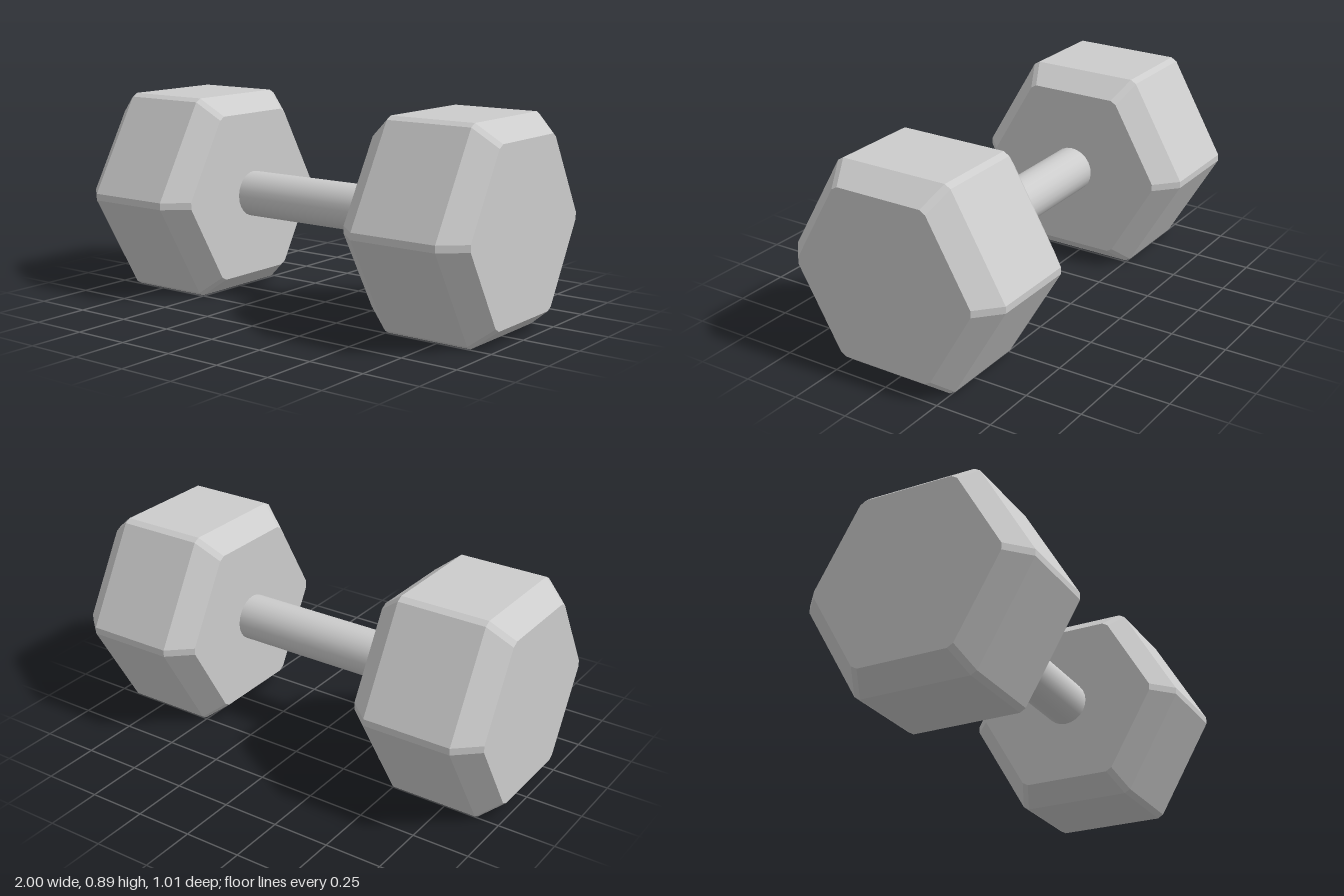
import * as THREE from 'three';
import { ConvexGeometry } from 'three/addons/geometries/ConvexGeometry.js';

const AXIS_Y = 0.446;

// Hexagon with slightly clipped corners, standing across the x axis
function hexRing(x, apothem, clip) {
  const tip = apothem / Math.cos(Math.PI / 6) - clip / Math.sqrt(3);
  const points = [];
  for (let i = 0; i < 6; i++) {
    const a = (i * Math.PI) / 3;
    for (const s of [-clip, clip]) {
      points.push(new THREE.Vector3(
        x,
        tip * Math.sin(a) + s * Math.cos(a),
        tip * Math.cos(a) - s * Math.sin(a)
      ));
    }
  }
  return points;
}

export function createModel() {
  const group = new THREE.Group();
  group.name = 'dumbbell';

  // Chamfered hexagonal weight: [x from its middle, apothem, corner clip]
  const profile = [
    [-0.295, 0.368, 0.015],
    [-0.195, 0.446, 0.015],
    [0.195, 0.446, 0.015],
    [0.295, 0.368, 0.015],
  ];
  const weightGeometry = new ConvexGeometry(profile.flatMap((p) => hexRing(...p)));
  const weightMaterial = new THREE.MeshStandardMaterial({ color: 0xcccccc, flatShading: true });
  for (const [name, side] of [['leftWeight', 1], ['rightWeight', -1]]) {
    const weight = new THREE.Mesh(weightGeometry, weightMaterial);
    weight.name = name;
    weight.position.set(side * 0.705, AXIS_Y, 0);
    group.add(weight);
  }

  // Round grip, its ends sunk into the weights
  const handle = new THREE.Mesh(
    new THREE.CylinderGeometry(0.102, 0.102, 0.86, 24),
    new THREE.MeshStandardMaterial({ color: 0xcccccc })
  );
  handle.name = 'handle';
  handle.rotation.z = Math.PI / 2;
  handle.position.y = AXIS_Y;
  group.add(handle);

  return group;
}
